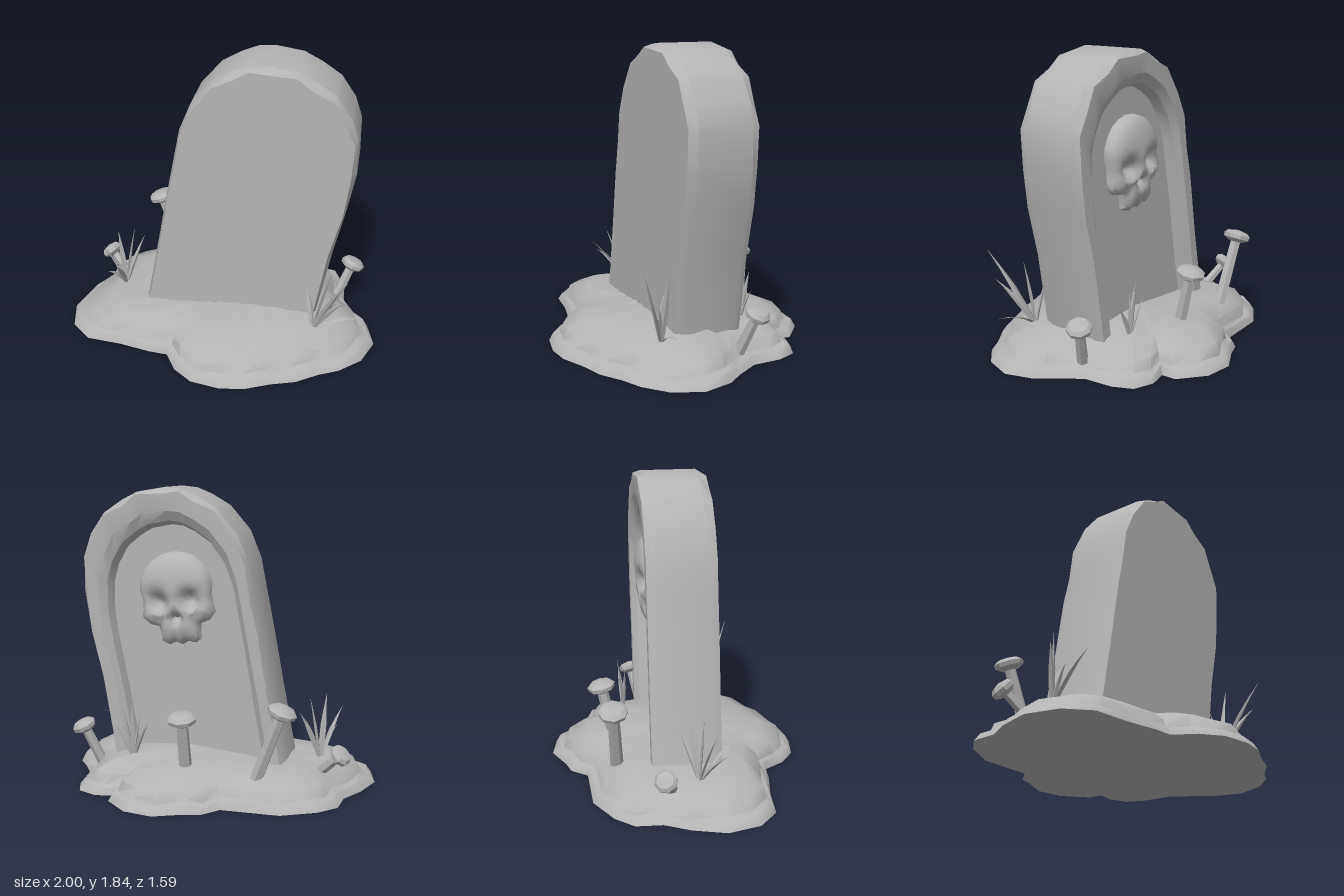
import * as THREE from 'three';
import { toCreasedNormals } from 'three/addons/utils/BufferGeometryUtils.js';

const grey = new THREE.MeshStandardMaterial({ color: 0xb4b4b4 });
grey.name = 'stone grey';

// Skin closed loops of [x, y, z] points and close both ends with fans
function loft(rings, crease) {
  const n = rings[0].length, pos = rings.flat(2), idx = [];
  rings.slice(1).forEach((_, i) => {
    for (let j = 0; j < n; j++) {
      const k = (j + 1) % n, a = i * n, b = a + n;
      idx.push(a + j, a + k, b + k, a + j, b + k, b + j);
    }
  });
  [0, rings.length - 1].forEach((r) => {
    const c = pos.length / 3;
    for (let d = 0; d < 3; d++) pos.push(rings[r].reduce((s, p) => s + p[d], 0) / n);
    for (let j = 0; j < n; j++) {
      const k = (j + 1) % n;
      if (r) idx.push(c, r * n + j, r * n + k);
      else idx.push(c, k, j);
    }
  });
  const g = new THREE.BufferGeometry();
  g.setAttribute('position', new THREE.Float32BufferAttribute(pos, 3));
  g.setIndex(idx);
  return toCreasedNormals(g, crease);
}

function add(parent, name, geometry) {
  const m = new THREE.Mesh(geometry, grey);
  m.name = name;
  parent.add(m);
  return m;
}

// Repeatable irregularity in -1..1
const rough = (i, seed) => Math.sin(i * 12.7 + seed * 5.3) * Math.cos(i * 3.1 + seed);

// Earth mound
function moundGeometry() {
  const edge = [[-1, .15], [-.95, .35], [-.82, .47], [-.6, .49], [-.4, .53], [-.28, .54], [-.2, .67],
    [-.08, .76], [.1, .79], [.25, .77], [.4, .7], [.55, .65], [.68, .56], [.8, .5], [.93, .38], [1, .2],
    [.95, .02], [.87, -.08], [.78, -.22], [.77, -.4], [.72, -.52], [.6, -.57], [.48, -.55], [.48, -.64],
    [.33, -.77], [.15, -.8], [-.02, -.72], [-.12, -.69], [-.2, -.59], [-.55, -.58], [-.75, -.47],
    [-.85, -.36], [-.86, -.2], [-.94, -.05]];
  const steps = [[1, 0, 0], [.965, .045, .01], [.91, .055, .015], [.88, .115, .015],
    [.72, .175, .015], [.45, .2, .01], [.2, .215, .01]];
  return loft(steps.map(([k, y, j], s) => edge.map(([x, z], i) =>
    [x * k, y + j * rough(i, s) + (s > 4 ? .02 * x : 0), z * k])), .9);
}

// Leaning arched stone with chipped edges and a sunken panel in its back
function stoneGeometry() {
  const outline = [[-.5, .1], [-.405, .6], [-.33, 1], [-.29, 1.2], [-.25, 1.4], [-.18, 1.57], [-.05, 1.72],
    [.07, 1.79], [.17, 1.83], [.27, 1.84], [.45, 1.81], [.55, 1.76], [.67, 1.68], [.76, 1.55], [.805, 1.42],
    [.81, 1.2], [.765, .95], [.7, .65], [.6, .1]];
  // z, width scale, height scale, roughness
  const steps = [[.215, .965, .985, .015], [.16, 1, 1, 0], [-.17, 1, 1, .004], [-.215, .965, .985, .02],
    [-.215, .84, .92, .01], [-.18, .77, .885, .01], [-.115, .74, .87, 0]];
  return loft(steps.map(([z, w, h, j], s) => outline.map(([x, y], i) => {
    const mid = .05 + .125 * (y - .1), r = j * rough(i, s);
    const yy = .1 + (y - .1) * (h + r * .4);
    return [.05 + .125 * (yy - .1) + (x - mid) * (w + r), yy, z];
  })), .5);
}

// Skull relief with hollow eyes and nose
function skullGeometry() {
  const half = [[0, .29], [.07, .28], [.13, .255], [.18, .21], [.22, .15], [.235, .08], [.22, .01],
    [.225, -.05], [.235, -.1], [.19, -.15], [.135, -.165], [.125, -.21], [.125, -.26], [.085, -.285], [.04, -.27]];
  const outline = [...half, [0, -.29], ...half.slice(1).reverse().map(([x, y]) => [-x, y])];
  const hollow = (x, y, cx, cy, r) => Math.exp(-((x - cx) ** 2 + (y - cy) ** 2) / (r * r));
  const depth = (x, y, k) => .125 * Math.pow(1 - k * k, .35) * (y < -.1 ? .85 : 1)
    - .085 * (hollow(x, y, .1, -.01, .06) + hollow(x, y, -.1, -.01, .06))
    - .06 * hollow(x, y, 0, -.11, .035);
  const rings = [1, .97, .9, .8, .7, .6, .5, .4, .3, .2, .1].map((k) =>
    outline.map(([x, y]) => [x * k, y * k, -Math.max(0, depth(x * k, y * k, k))]));
  return loft(rings, 1);
}

// Mushroom standing from base to the top of its cap
function mushroom(base, top, r) {
  const g = new THREE.Group();
  g.name = 'mushroom';
  const a = new THREE.Vector3(...base), axis = new THREE.Vector3(...top).sub(a), len = axis.length();
  const stem = new THREE.CylinderGeometry(r * .38, r * .45, len, 6);
  stem.translate(0, len / 2 - .03, 0);
  add(g, 'stem', toCreasedNormals(stem, .8));
  const profile = [[0, -.07], [.55, -.065], [.95, -.045], [1, -.02], [.75, 0], [0, .012]];
  const cap = new THREE.LatheGeometry(profile.map(([x, y]) => new THREE.Vector2(x * r, y)), 8);
  cap.translate(0, len, 0);
  add(g, 'cap', toCreasedNormals(cap, .6));
  g.position.copy(a);
  g.quaternion.setFromUnitVectors(new THREE.Vector3(0, 1, 0), axis.normalize());
  return g;
}

// Tuft of bent, pointed blades from one root to the given tips
function grass(root, tips, width) {
  const g = new THREE.Group();
  g.name = 'grassTuft';
  const a = new THREE.Vector3(...root);
  tips.forEach((tip, t) => {
    const b = new THREE.Vector3(...tip);
    const start = a.clone().lerp(b, .06).setY(a.y);
    const bend = start.clone().lerp(b, .4);
    bend.y += .05;
    const curve = new THREE.QuadraticBezierCurve3(start, bend, b);
    const geo = new THREE.CylinderGeometry(1, 1, 1, 4, 4);
    const p = geo.attributes.position, turn = t * 1.3;
    for (let i = 0; i < p.count; i++) {
      const s = p.getY(i) + .5, c = curve.getPoint(s);
      const w = width * (s < .4 ? .55 + 1.1 * s : (1 - s) * 1.65);
      const u = p.getX(i) * w, v = p.getZ(i) * w * .45;
      p.setXYZ(i, c.x + u * Math.cos(turn) + v * Math.sin(turn), c.y, c.z - u * Math.sin(turn) + v * Math.cos(turn));
    }
    add(g, 'blade', toCreasedNormals(geo, .5));
  });
  return g;
}

export function createModel() {
  const model = new THREE.Group();
  model.name = 'gravestone';
  add(model, 'mound', moundGeometry());
  add(model, 'headstone', stoneGeometry());

  const skull = add(model, 'skull', skullGeometry());
  skull.position.set(.21, 1.16, -.113);
  skull.rotation.z = -.12;

  model.add(
    mushroom([-.38, .17, -.42], [-.54, .6, -.45], .09),
    mushroom([.07, .15, -.4], [.07, .52, -.48], .09),
    mushroom([-.7, .13, -.12], [-.85, .28, -.19], .07),
    mushroom([.73, .1, -.16], [.83, .35, -.22], .078),
  );

  model.add(
    grass([-.67, .17, .04], [[-.7, .58, .06], [-.61, .57, -.02], [-.79, .49, .12], [-.56, .48, -.08],
      [-.58, .42, 0], [-.66, .45, .28], [-.75, .35, .2]], .022),
    grass([.61, .17, .3], [[.82, .66, .49], [.72, .6, .29], [.81, .48, .44], [.56, .43, .26],
      [.91, .28, .32], [.76, .42, .37]], .026),
    grass([.45, .17, -.3], [[.44, .55, -.34], [.5, .48, -.33], [.57, .38, -.31], [.34, .4, -.32],
      [.4, .46, -.29]], .018),
  );
  return model;
}
